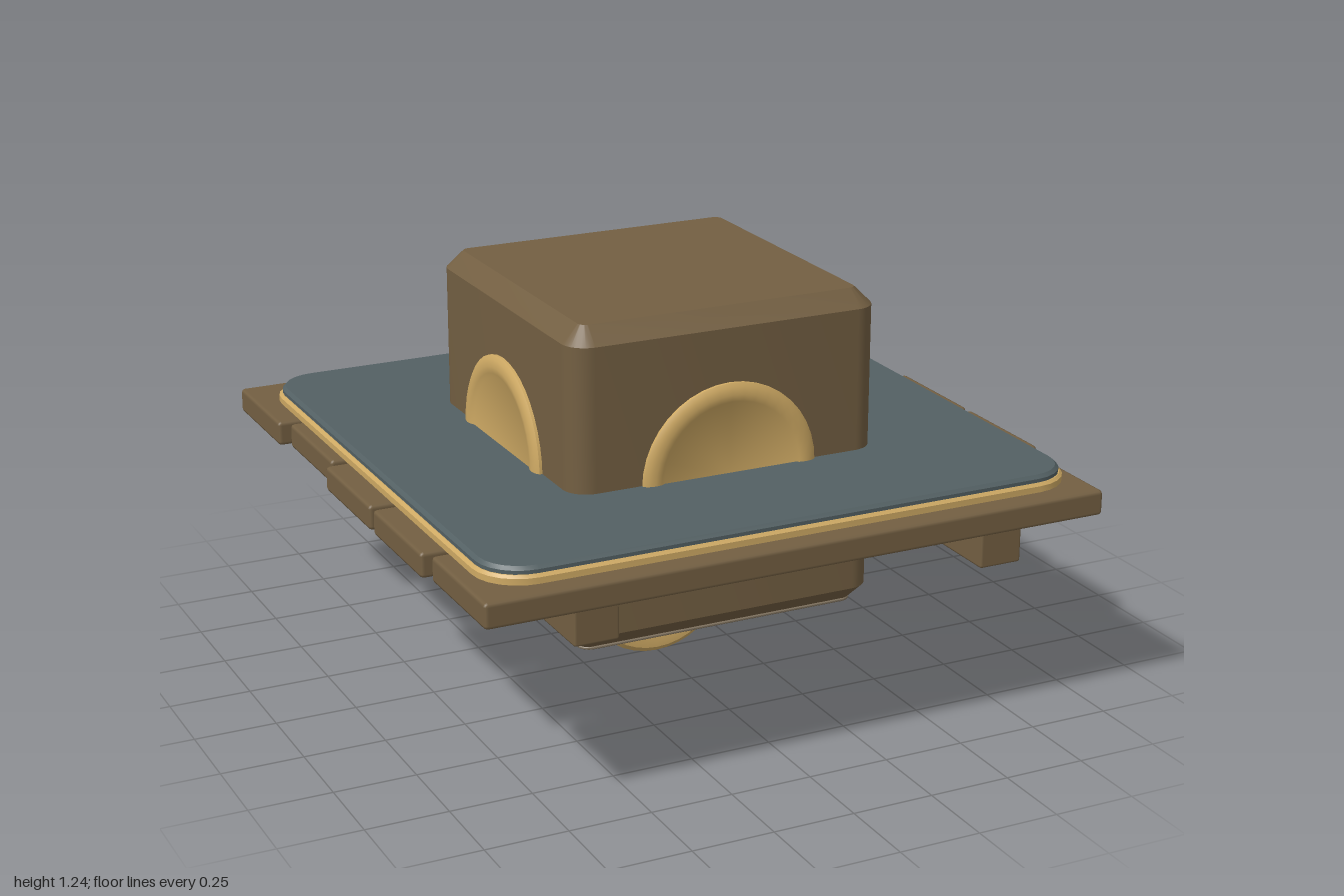
import * as THREE from 'three';
import { toCreasedNormals } from 'three/addons/utils/BufferGeometryUtils.js';
import { RoundedBoxGeometry } from 'three/addons/geometries/RoundedBoxGeometry.js';

const paint = (name, color) => {
  const m = new THREE.MeshStandardMaterial({ color });
  m.name = name;
  return m;
};

// Rounded square slab with bevelled rims, lying flat between y0 and y1
function slab(half, y0, y1, radius, bevel, segments) {
  const h = half - bevel, r = radius - bevel;
  const s = new THREE.Shape();
  s.moveTo(h, r - h);
  s.lineTo(h, h - r);
  s.absarc(h - r, h - r, r, 0, Math.PI / 2);
  s.absarc(r - h, h - r, r, Math.PI / 2, Math.PI);
  s.absarc(r - h, r - h, r, Math.PI, Math.PI * 1.5);
  s.absarc(h - r, r - h, r, Math.PI * 1.5, Math.PI * 2);
  const g = new THREE.ExtrudeGeometry(s, {
    depth: y1 - y0 - 2 * bevel, bevelEnabled: true, bevelSize: bevel,
    bevelThickness: bevel, bevelSegments: 1, curveSegments: segments,
  });
  g.rotateX(-Math.PI / 2).translate(0, y0 + bevel, 0);
  return toCreasedNormals(g, 0.6);
}

// Turned profile of [radius, height] pairs
function turned(points, sides) {
  const g = new THREE.LatheGeometry(points.map(([r, y]) => new THREE.Vector2(r, y)), sides);
  return toCreasedNormals(g, 0.6);
}

export function createModel() {
  const wood = paint('brown wood', 0x735f42);
  const slate = paint('slate mat', 0x536063);
  const steel = paint('dark steel', 0x435058);
  const gold = paint('gold', 0xcfaa64);
  const pewter = paint('pewter', 0x7d705d);

  const model = new THREE.Group();
  const add = (name, geometry, material, x = 0, y = 0, z = 0, parent = model) => {
    const mesh = new THREE.Mesh(geometry, material);
    mesh.name = name;
    mesh.position.set(x, y, z);
    parent.add(mesh);
    return mesh;
  };

  // Deck planks: [left end, right end, back edge, front edge]
  const planks = [
    [-1, 0.95, -1, -0.62],
    [-0.97, 0.97, -0.6, -0.22],
    [-1, 1, -0.19, 0.185],
    [-1, 1, 0.21, 0.587],
    [-0.98, 0.96, 0.612, 0.993],
  ];
  planks.forEach(([x0, x1, z0, z1], i) => {
    add('plank' + (i + 1), new RoundedBoxGeometry(x1 - x0, 0.077, z1 - z0, 1, 0.012), wood,
      (x0 + x1) / 2, 0.67, (z0 + z1) / 2);
  });

  // Rails and bolt heads under the deck
  for (const side of [-1, 1]) {
    add('rail', new RoundedBoxGeometry(0.135, 0.12, 1.91, 1, 0.008), wood, side * 0.64, 0.577, 0);
    for (const end of [-1, 1]) {
      add('bolt', turned([[0, 0.567], [0.062, 0.567], [0.078, 0.582], [0.088, 0.64], [0, 0.64]], 10),
        steel, side * 0.71, 0, end * 0.717);
    }
  }

  // Mat with gold trim
  add('matTrim', slab(0.928, 0.7, 0.735, 0.14, 0.008, 3), gold, -0.003, 0, -0.003);
  add('mat', slab(0.917, 0.72, 0.756, 0.13, 0.01, 3), slate, -0.003, 0, -0.003);

  // Central block passing through the deck
  const block = new THREE.Group();
  block.name = 'block';
  block.position.set(-0.004, 0, -0.004);
  model.add(block);
  add('blockBody', slab(0.495, 0.26, 1.243, 0.075, 0.052, 4), wood, 0, 0, 0, block);
  add('basePlate', slab(0.452, 0.255, 0.263, 0.04, 0.002, 4), pewter, 0, 0, 0, block);

  // Rimmed medallion on each side face
  const medallion = turned([
    [0.279, 0.47], [0.279, 0.504], [0.267, 0.512], [0.245, 0.516],
    [0.225, 0.513], [0.213, 0.506], [0, 0.506],
  ], 40).rotateX(Math.PI / 2);
  for (let i = 0; i < 4; i++) {
    add('medallion', medallion, gold, 0, 0.75, 0, block).rotation.y = i * Math.PI / 2;
  }

  // Hexagonal nut and hanging ring beneath
  const nut = turned([[0, 0.165], [0.11, 0.165], [0.138, 0.195], [0.138, 0.27], [0, 0.27]], 6);
  nut.rotateY(Math.PI / 2).scale(1, 1, 0.89);
  add('nut', nut, pewter, 0, 0, 0, block);
  const ring = turned([
    [0.25, -0.014], [0.25, 0.014], [0.236, 0.024], [0.2, 0.024], [0.18, 0.018], [0.14, 0.018], [0.125, 0.01],
    [0.125, -0.01], [0.14, -0.018], [0.18, -0.018], [0.2, -0.024], [0.236, -0.024], [0.25, -0.014],
  ], 40).rotateX(Math.PI / 2);
  add('hangingRing', ring, gold, 0, 0.25, 0, block);

  return model;
}
